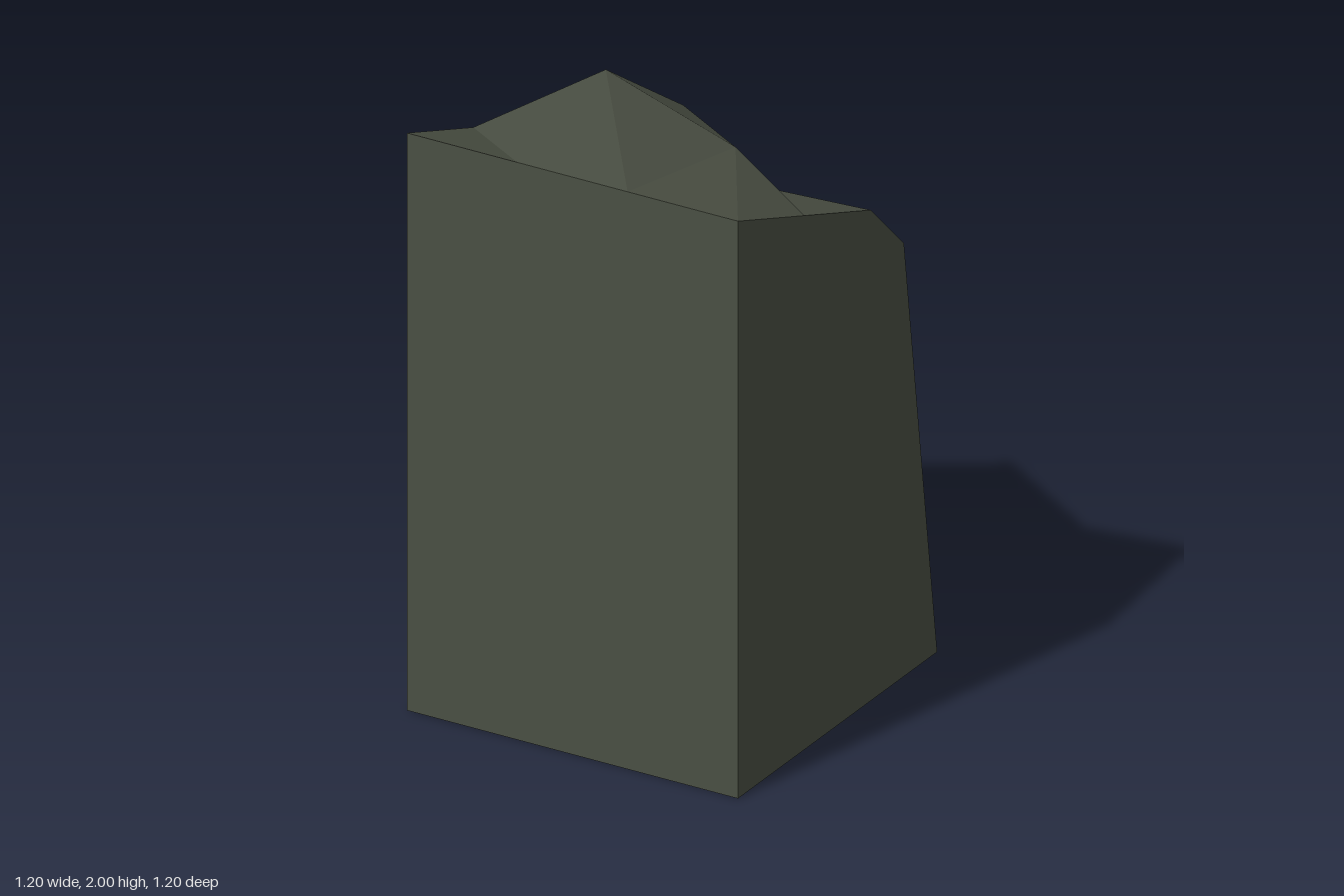
import * as THREE from 'three';

// Cross-sections running left to right: front foot, top front, over the top, down to the back foot
const rows = [
  [[-0.6, 0, 0.6], [-0.2, 0, 0.6], [0.2, 0, 0.6], [0.6, 0, 0.6]],
  [[-0.6, 2, 0.6], [-0.2, 2, 0.6], [0.2, 2, 0.6], [0.6, 2, 0.6]],
  [[-0.6, 1.85, 0.2], [-0.3, 2, -0.1], [0.2, 1.88, -0.05], [0.6, 1.85, 0.2]],
  [[-0.6, 1.7, -0.2], [-0.2, 1.775, -0.4], [0.2, 1.68, -0.2], [0.6, 1.7, -0.2]],
  [[-0.6, 1.5, -0.4], [-0.2, 1.03, -0.45], [0.2, 1.42, -0.325], [0.6, 1.5, -0.4]],
  [[-0.6, 0, -0.6], [-0.2, 0, -0.575], [0.2, 0, -0.35], [0.6, 0, -0.6]],
];

// Direction of the crease across each facet pair, band by band
const creases = ['///', '///', '///', '\\\\\\', '\\\\/', '///'];

function facetGeometry(triangles) {
  const geometry = new THREE.BufferGeometry();
  geometry.setAttribute('position', new THREE.Float32BufferAttribute(triangles.flat(2), 3));
  geometry.computeVertexNormals();
  return geometry;
}

// One closed band between neighbouring cross-sections
function band(i) {
  const near = rows[i], far = rows[(i + 1) % rows.length];
  const triangles = [];
  for (let c = 0; c < 3; c++) {
    const a = near[c], b = near[c + 1], d = far[c], e = far[c + 1];
    if (creases[i][c] === '/') triangles.push([a, b, d], [b, e, d]);
    else triangles.push([a, b, e], [a, e, d]);
  }
  return triangles;
}

// Flat end wall, fanned from the front foot
function endWall(column) {
  const p = rows.map((row) => row[column]);
  const triangles = [];
  for (let i = 1; i < p.length - 1; i++) {
    triangles.push(column === 0 ? [p[0], p[i], p[i + 1]] : [p[0], p[i + 1], p[i]]);
  }
  return triangles;
}

export function createModel() {
  const group = new THREE.Group();
  group.name = 'cliffBlock';
  const stone = new THREE.MeshStandardMaterial({ color: 0x4a4f43 });
  stone.name = 'mossy grey stone';

  const add = (name, triangles) => {
    const mesh = new THREE.Mesh(facetGeometry(triangles), stone);
    mesh.name = name;
    group.add(mesh);
  };

  add('frontWall', band(0));
  add('slopingTop', [...band(1), ...band(2)]);
  add('cliffFace', [...band(3), ...band(4)]);
  add('base', band(5));
  add('rightWall', endWall(0));
  add('leftWall', endWall(3));
  return group;
}
